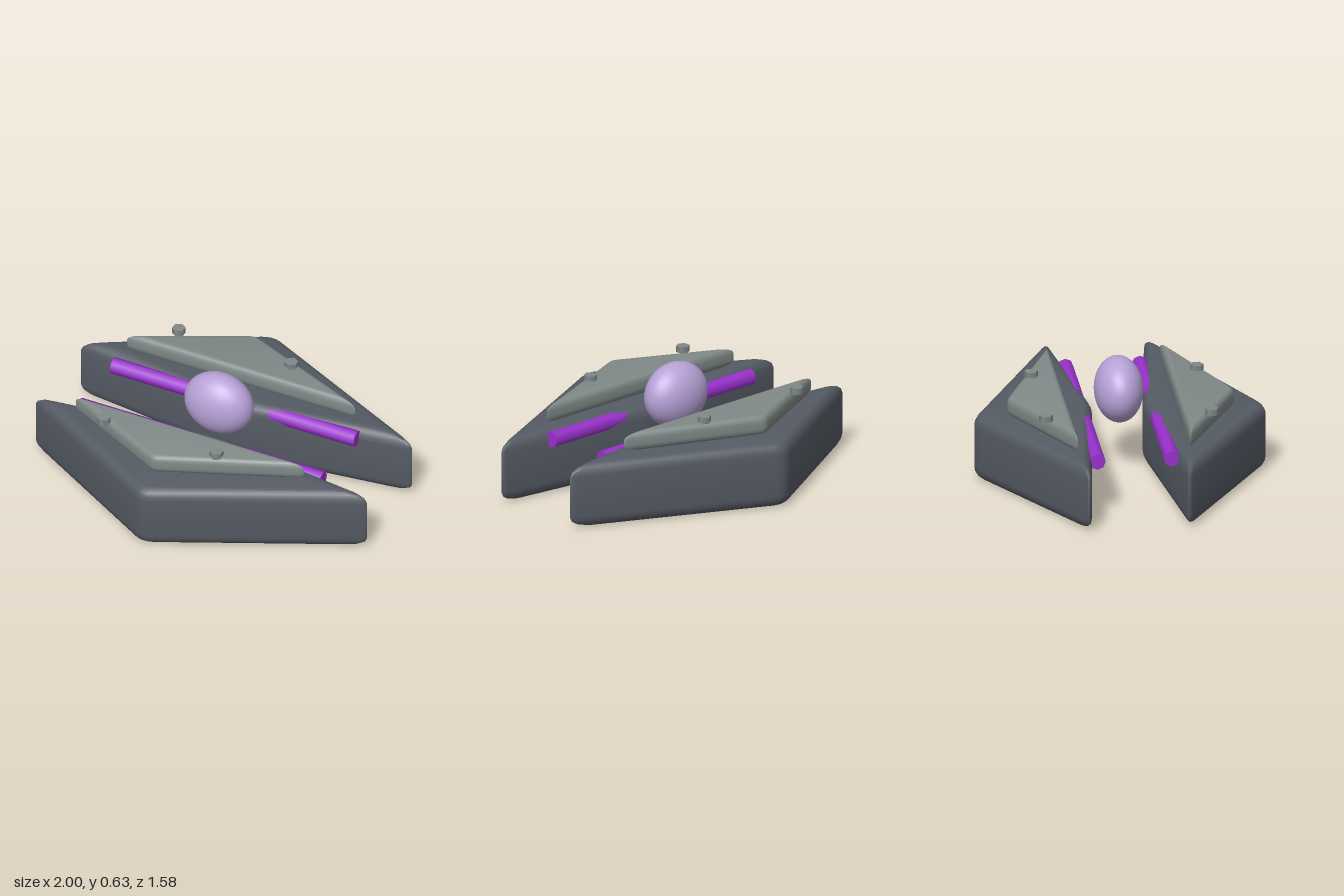
import * as THREE from 'three';
import { toCreasedNormals } from 'three/addons/utils/BufferGeometryUtils.js';

const paint = (name, color) => {
  const m = new THREE.MeshStandardMaterial({ color });
  m.name = name;
  return m;
};

// Moves every edge of a convex outline inward by d
function inset(points, d) {
  const n = points.length;
  const inward = points.map((p, i) => {
    const e = points[(i + 1) % n].clone().sub(p).normalize();
    return new THREE.Vector2(e.y, -e.x);
  });
  return points.map((p, i) => {
    const a = inward[(i + n - 1) % n], b = inward[i];
    return p.clone().addScaledVector(a.clone().add(b), d / (1 + a.dot(b)));
  });
}

// Rounds each corner with a short curve that starts t before the corner
function roundCorners(points, t) {
  const n = points.length;
  return points.flatMap((p, i) => {
    const toward = (q) => p.clone().addScaledVector(q.clone().sub(p).normalize(), t);
    const curve = new THREE.QuadraticBezierCurve(
      toward(points[(i + n - 1) % n]), p, toward(points[(i + 1) % n]));
    return curve.getPoints(4);
  });
}

// Upright slab with a convex (x, z) outline and rounded top and bottom edges
function slab(outline, y0, y1, bevel, bevelHeight, corner) {
  const steps = 4, levels = [];
  for (let i = 0; i <= steps; i++) {
    const a = (i / steps) * Math.PI / 2;
    levels.push([y0 + bevelHeight * (1 - Math.sin(a)), bevel * (1 - Math.cos(a))]);
  }
  // Order the levels from bottom to top: widest in the middle
  const lower = levels.map(([y, d]) => [y, d]).reverse();
  const upper = levels.map(([y, d]) => [y0 + y1 - y, d]);
  const rings = [...lower, ...upper]
    .sort((a, b) => a[0] - b[0])
    .map(([y, d]) => roundCorners(inset(outline, d), corner).map((p) => [p.x, y, p.y]));

  const n = rings[0].length, positions = rings.flat(2), index = [];
  for (let r = 0; r < rings.length - 1; r++) {
    for (let i = 0; i < n; i++) {
      const a = r * n + i, b = r * n + (i + 1) % n;
      index.push(a, b, b + n, a, b + n, a + n);
    }
  }
  // Flat caps
  const top = (rings.length - 1) * n;
  for (let i = 1; i < n - 1; i++) {
    index.push(top, top + i, top + i + 1);
    index.push(0, i + 1, i);
  }
  const g = new THREE.BufferGeometry();
  g.setAttribute('position', new THREE.Float32BufferAttribute(positions, 3));
  g.setIndex(index);
  return toCreasedNormals(g, 0.5);
}

// Mirrors an outline to the given side, keeping its winding
function outlineOn(side, pairs) {
  const pts = pairs.map(([x, z]) => new THREE.Vector2(x, z * side));
  return side > 0 ? pts : pts.reverse();
}

export function createModel() {
  const model = new THREE.Group();
  const hullGrey = paint('hull grey', 0x555b64);
  const plateGrey = paint('plate grey', 0x808a88);
  const glowPurple = paint('glow purple', 0x9932cc);
  const paleLilac = paint('pale lilac', 0xb8a2d8);

  const add = (name, geometry, material, parent) => {
    const mesh = new THREE.Mesh(geometry, material);
    mesh.name = name;
    parent.add(mesh);
    return mesh;
  };

  for (const side of [1, -1]) {
    const half = new THREE.Group();
    half.name = side > 0 ? 'frontHalf' : 'backHalf';
    model.add(half);

    // Heavy wedge-shaped body
    const hull = outlineOn(side, [[-1.028, 0.265], [-0.1, 0.805], [1.028, 0.265], [0.03, 0.136]]);
    add('hull', slab(hull, 0, 0.363, 0.05, 0.065, 0.06), hullGrey, half);

    // Triangular armour plate
    const plate = outlineOn(side, [[-0.755, 0.303], [-0.12, 0.62], [0.65, 0.303]]);
    add('armourPlate', slab(plate, 0.36, 0.467, 0.026, 0.036, 0.03), plateGrey, half);

    // Hexagonal bolts
    for (const x of [-0.5, 0.18]) {
      add('bolt', new THREE.CylinderGeometry(0.037, 0.037, 0.035, 6), plateGrey, half)
        .position.set(x, 0.479, 0.45 * side);
    }

    // Glowing rail along the inner edge
    const rail = add('rail', new THREE.CylinderGeometry(0.045, 0.045, 1.47, 8), glowPurple, half);
    rail.rotation.z = Math.PI / 2;
    rail.position.set(-0.035, 0.316, 0.203 * side);
  }

  // Egg-shaped core floating between the halves
  const core = add('core', new THREE.SphereGeometry(1, 32, 24), paleLilac, model);
  core.scale.set(0.2, 0.18, 0.133);
  core.position.set(-0.03, 0.453, 0);

  return model;
}
